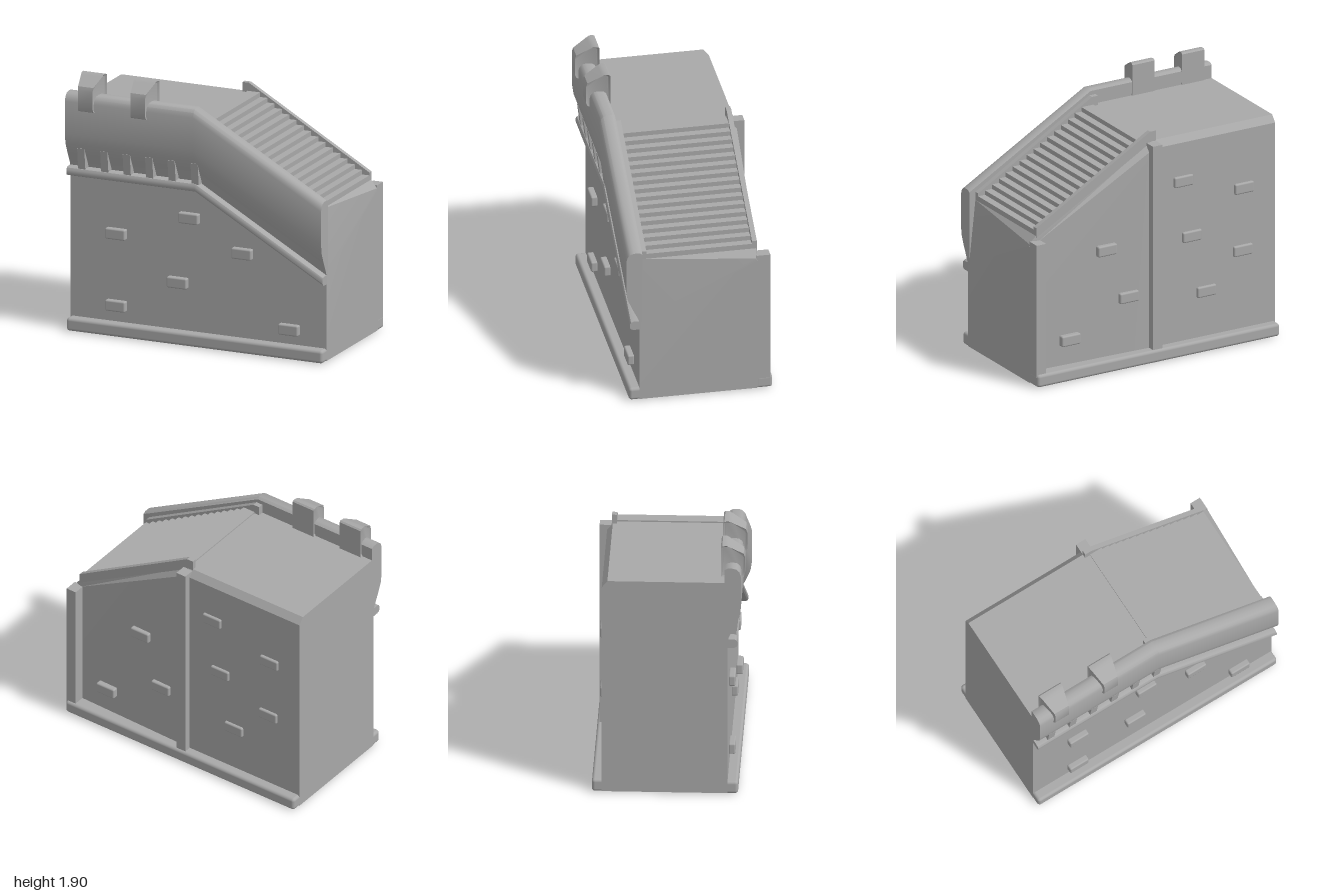
import * as THREE from 'three';
import { toCreasedNormals } from 'three/addons/utils/BufferGeometryUtils.js';
import { RoundedBoxGeometry } from 'three/addons/geometries/RoundedBoxGeometry.js';

const stone = new THREE.MeshStandardMaterial({ color: 0xa8a8a8 });
stone.name = 'stone';

// Skin a run of [z, y] cross-sections placed along x, with closed ends
function loft(sections, crease = 0.6) {
  const pos = [];
  const put = (x, [z, y]) => pos.push(x, y, z);
  const n = sections[0].pts.length;
  for (let i = 0; i < sections.length - 1; i++) {
    const A = sections[i], B = sections[i + 1];
    for (let j = 0; j < n; j++) {
      const k = (j + 1) % n;
      put(A.x, A.pts[j]); put(B.x, B.pts[j]); put(B.x, B.pts[k]);
      put(A.x, A.pts[j]); put(B.x, B.pts[k]); put(A.x, A.pts[k]);
    }
  }
  [[sections[0], 1], [sections[sections.length - 1], -1]].forEach(([s, sign]) => {
    const v = s.pts.map(p => new THREE.Vector2(p[0], p[1]));
    for (const t of THREE.ShapeUtils.triangulateShape(v, [])) {
      const [a, b, c] = t.map(q => s.pts[q]);
      const area = (b[0] - a[0]) * (c[1] - a[1]) - (b[1] - a[1]) * (c[0] - a[0]);
      (area * sign > 0 ? [a, b, c] : [a, c, b]).forEach(p => put(s.x, p));
    }
  });
  const g = new THREE.BufferGeometry();
  g.setAttribute('position', new THREE.Float32BufferAttribute(pos, 3));
  return toCreasedNormals(g, crease);
}

// Repeat one profile along the level stretch and down the slope
const DROP = 0.57;
const alongWall = pts => loft([[-1, 0], [0, 0], [1, DROP]].map(([x, d]) =>
  ({ x, pts: pts.map(([z, y]) => [z, y - d]) })));

// Extrude an outline in x and y between two depths
function plate(points, z0, z1) {
  const shape = new THREE.Shape(points.map(p => new THREE.Vector2(...p)));
  return new THREE.ExtrudeGeometry(shape, { depth: z1 - z0, bevelEnabled: false }).translate(0, 0, z0);
}

export function createModel() {
  const model = new THREE.Group();
  model.name = 'castleStairWall';
  const add = (name, geometry, x = 0, y = 0, z = 0) => {
    const mesh = new THREE.Mesh(geometry, stone);
    mesh.name = name;
    mesh.position.set(x, y, z);
    model.add(mesh);
    return mesh;
  };

  // Solid body: level deck, then a slope ending in a slanted lip
  const bodySection = (x, top, back) => ({ x, pts: [
    [0.42, 0.01], [0.42, top - 0.05], [0.4, top], [-0.43, top], [back, top - 0.05], [back, 0.01]] });
  add('body', loft([
    bodySection(-1, 1.65, -0.47), bodySection(0, 1.65, -0.47), bodySection(0.95, 1.115, -0.44),
    { x: 1, pts: [[0.42, 0.01], [0.42, 0.6], [0.41, 0.65], [-0.42, 1.06], [-0.43, 1.04], [-0.43, 0.01]] },
  ], 0.3));

  // Bulging parapet and the moulding beneath it
  add('parapet', alongWall([[0.4, 1.2], [0.42, 1.2], [0.435, 1.24], [0.475, 1.32], [0.505, 1.39],
    [0.515, 1.46], [0.515, 1.7], [0.505, 1.735], [0.485, 1.755], [0.46, 1.763], [0.42, 1.763], [0.4, 1.75]]));
  add('moulding', alongWall([[0.41, 1.145], [0.465, 1.145], [0.482, 1.152], [0.49, 1.165],
    [0.49, 1.19], [0.482, 1.205], [0.465, 1.212], [0.41, 1.212]]));

  // Small brackets under the parapet
  const bracket = loft([-0.028, 0.028].map(x =>
    ({ x, pts: [[0.41, 1.2], [0.478, 1.2], [0.497, 1.36], [0.41, 1.36]] })));
  [-0.885, -0.705, -0.53, -0.355, -0.18, 0].forEach(x => add('bracket', bracket, x));

  // Merlons, wide at the back and narrower toward the front
  const merlonPts = [[0.37, 1.66], [0.5, 1.635], [0.53, 1.65], [0.54, 1.675], [0.54, 1.8],
    [0.53, 1.83], [0.43, 1.89], [0.41, 1.9], [0.38, 1.9], [0.37, 1.89]];
  const merlonSection = (x, inset) => ({ x, pts: merlonPts.map(([z, y]) =>
    [z + (z < 0.45 ? inset : -inset), y + (y > 1.8 ? -inset : y < 1.7 ? inset : 0)]) });
  const merlon = loft([
    merlonSection(-0.08, 0.012), merlonSection(-0.092, 0), merlonSection(0.092, 0), merlonSection(0.08, 0.012)]);
  const mp = merlon.attributes.position;
  for (let i = 0; i < mp.count; i++) {
    const t = Math.max(0, Math.min(1, (mp.getZ(i) - 0.39) / 0.15));
    mp.setX(i, mp.getX(i) * (1 - 0.38 * t));
  }
  const merlonGeometry = toCreasedNormals(merlon, 0.6);
  [-0.83, -0.42].forEach(x => add('merlon', merlonGeometry, x));

  // Stair flight
  const STEPS = 16, run = 0.91 / STEPS, rise = 0.54 / STEPS;
  const stair = [[0.95, 1.08], [0.95, 1.12]];
  for (let i = STEPS - 1; i >= 0; i--) {
    const y = 1.66 - i * rise;
    stair.push([0.04 + (i + 1) * run, y], [0.04 + i * run, y]);
  }
  stair.push([0, 1.66], [0, 1.6]);
  add('steps', plate(stair, -0.4, 0.365));

  // Rails on both sides of the stairs
  const rail = [[-0.04, 1.64], [0, 1.64], [0.95, 1.1], [0.95, 1.175], [0.01, 1.72], [-0.04, 1.72]];
  add('frontRail', plate(rail, 0.362, 0.402));
  add('backRail', plate(rail, -0.435, -0.4));

  // Base strips along the front and back
  add('frontBase', new RoundedBoxGeometry(2, 0.095, 0.11, 3, 0.022), 0, 0.052, 0.44);
  add('backBase', new RoundedBoxGeometry(2, 0.095, 0.12, 3, 0.022), 0, 0.052, -0.48);
  add('baseStud', new THREE.BoxGeometry(0.07, 0.02, 0.05), 0, 0.01, -0.49);

  // Back pillars with slightly sloping tops
  [[0, 1.64], [0.96, 1.08]].forEach(([x, top]) => add('backPillar', loft([-0.039, 0.039].map(d =>
    ({ x: x + d, pts: [[-0.425, 0.02], [-0.425, top], [-0.523, top], [-0.523, 0.02]] })))));

  // Raised bricks on the front and back walls
  const brick = new RoundedBoxGeometry(0.156, 0.08, 0.05, 2, 0.012);
  [[-0.635, 0.75], [-0.065, 0.935], [0.35, 0.725], [-0.155, 0.45], [-0.635, 0.22], [0.715, 0.21]]
    .forEach(([x, y]) => add('frontBrick', brick, x, y, 0.44));
  [[0.39, 0.91], [0.69, 0.29], [0.21, 0.52], [-0.24, 1.31], [-0.74, 1.16], [-0.31, 0.88], [-0.73, 0.69], [-0.43, 0.44]]
    .forEach(([x, y]) => add('backBrick', brick, x, y, -0.465));

  return model;
}
